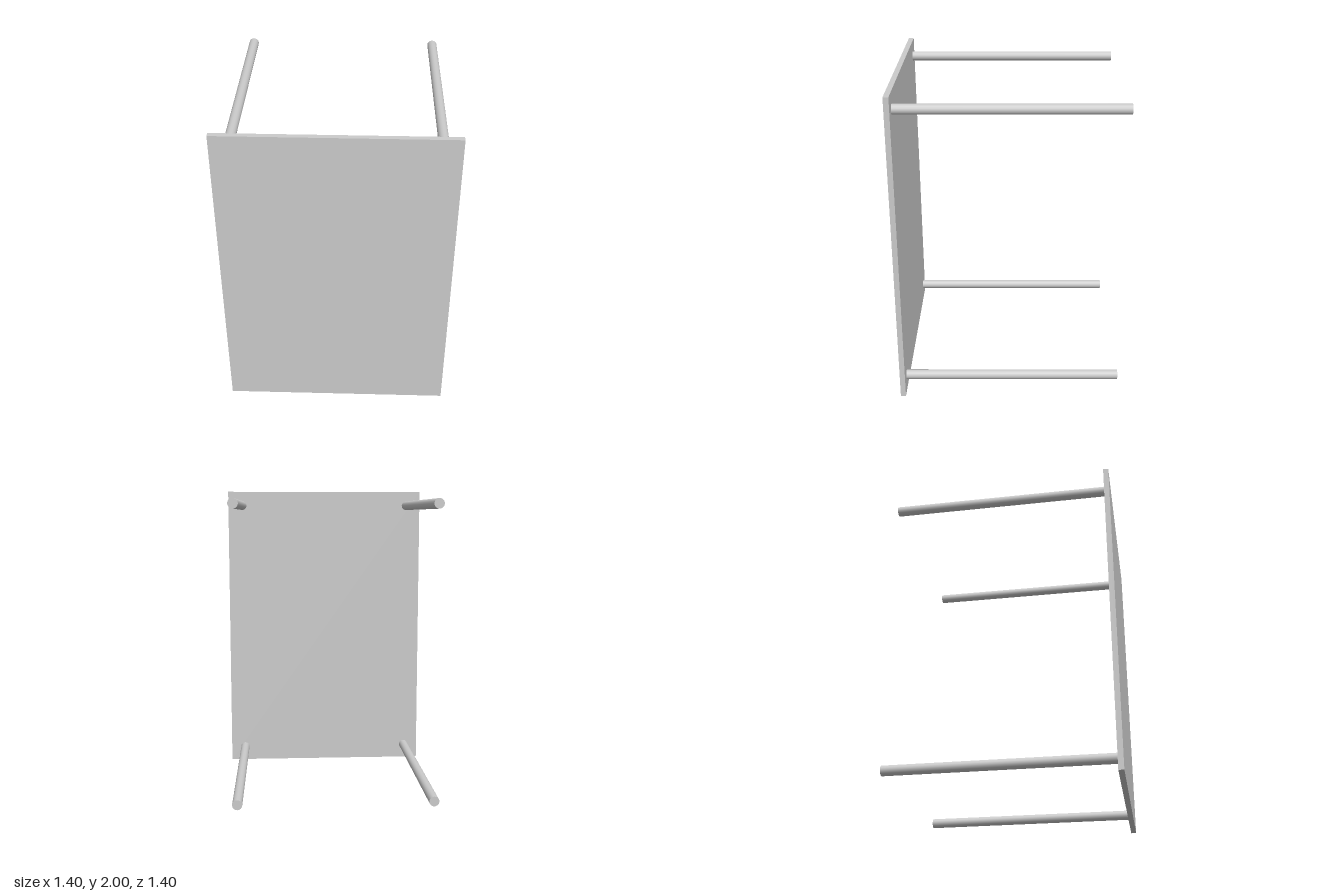
import * as THREE from 'three';

// A four-legged table tipped on its side, with the top facing +z.
export function createModel() {
  const table = new THREE.Group();
  table.name = 'table';
  const material = new THREE.MeshStandardMaterial({ color: 0xcccccc });

  const height = 2, halfWidth = 0.7, halfDepth = 0.7;
  const thickness = 0.033, legRadius = 0.031, inset = 0.1;

  // Table top
  const top = new THREE.Mesh(new THREE.BoxGeometry(2 * halfWidth, height, thickness), material);
  top.name = 'tableTop';
  top.position.set(0, height / 2, halfDepth - thickness / 2);
  table.add(top);

  // Round legs reaching back from the four corners
  const legLength = 2 * halfDepth - thickness;
  const legGeometry = new THREE.CylinderGeometry(legRadius, legRadius, legLength, 16);
  legGeometry.rotateX(Math.PI / 2);
  for (const [side, x] of [['left', halfWidth - inset], ['right', inset - halfWidth]]) {
    for (const [level, y] of [['Lower', inset], ['Upper', height - inset]]) {
      const leg = new THREE.Mesh(legGeometry, material);
      leg.name = `${side}${level}Leg`;
      leg.position.set(x, y, -thickness / 2);
      table.add(leg);
    }
  }
  return table;
}
